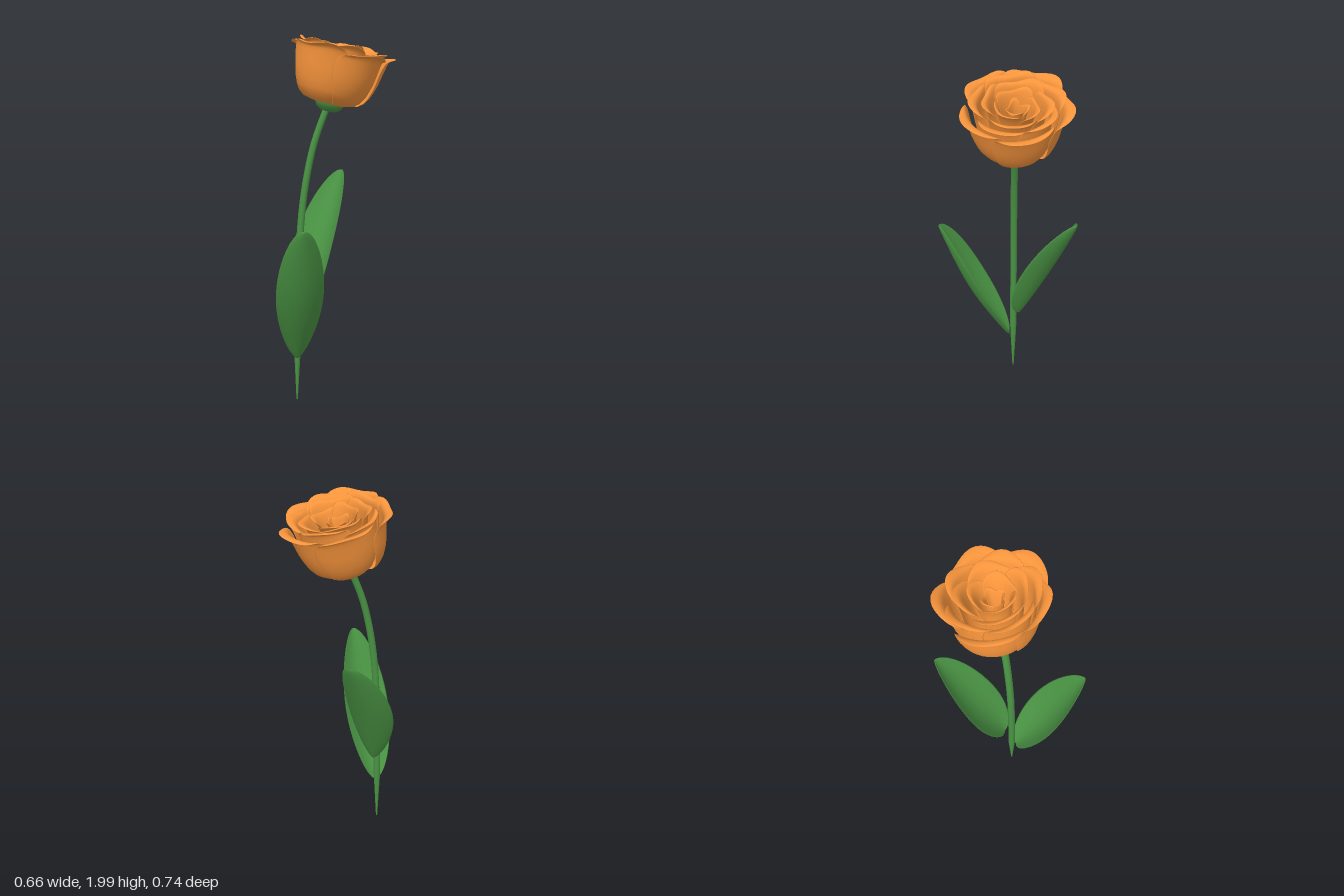
import * as THREE from 'three';

const orange = new THREE.MeshStandardMaterial({ color: 0xf9953c, side: THREE.DoubleSide });
const green = new THREE.MeshStandardMaterial({ color: 0x4a9444, side: THREE.DoubleSide });
const V = (x, y, z) => new THREE.Vector3(x, y, z);

// Skin of closed rings: point(angle, t) gives each ring point
function loft(point, around, along) {
  const pos = [], idx = [];
  for (let j = 0; j <= along; j++) {
    for (let i = 0; i < around; i++) {
      pos.push(...point((i / around) * Math.PI * 2, j / along).toArray());
      if (j === along) continue;
      const a = j * around + i, b = j * around + ((i + 1) % around);
      idx.push(a, b, b + around, a, b + around, a + around);
    }
  }
  const g = new THREE.BufferGeometry();
  g.setAttribute('position', new THREE.Float32BufferAttribute(pos, 3));
  g.setIndex(idx);
  g.computeVertexNormals();
  return g;
}

function add(parent, name, geometry, material) {
  const m = new THREE.Mesh(geometry, material);
  m.name = name;
  parent.add(m);
}

// Curved stem, pointed at the foot
function stemGeometry() {
  const path = new THREE.CatmullRomCurve3([
    V(-0.195, 0.01, -0.04), V(-0.19, 0.4, -0.04), V(-0.18, 0.8, -0.04), V(-0.164, 1.05, -0.04),
    V(-0.136, 1.25, -0.04), V(-0.093, 1.44, -0.04), V(-0.02, 1.64, -0.04)]);
  return loft((a, t) => {
    const r = 0.004 + 0.015 * Math.min(1, t * 5.5);
    return path.getPointAt(t).add(V(Math.cos(a) * r, 0, -Math.sin(a) * r));
  }, 10, 30);
}

// Cupped leaf leaning in direction (dx, dz), hollow side towards the stem
function leafGeometry(points, dx, dz, halfWidth, cup) {
  const path = new THREE.CatmullRomCurve3(points);
  const W = V(dz, 0, -dx).normalize();
  return loft((a, k) => {
    const t = (1 - Math.cos(k * Math.PI)) / 2;
    const w = Math.pow(Math.max(0, Math.sin(Math.PI * t)), 0.55);
    const N = path.getTangent(t).cross(W).normalize();
    const s = Math.cos(a);
    return path.getPoint(t)
      .addScaledVector(W, halfWidth * w * s)
      .addScaledVector(N, cup * w * s * s + 0.012 * Math.sqrt(w) * Math.sin(a));
  }, 20, 24);
}

// One petal: narrow foot, bowl wall (neck = wall radius / lip radius), flared wavy lip
function petalGeometry(R, H, neck, theta, halfAngle, phase) {
  const profile = new THREE.SplineCurve([
    [0.01, 0.09], [R * neck * 0.62, 0.14], [R * neck * 0.86, 0.28],
    [R * neck, 0.53], [R * (0.3 + neck * 0.7), 0.78], [R * 0.92, 0.95], [R * 1.06, 0.99],
  ].map(([r, y]) => new THREE.Vector2(r, y * H)));
  return loft((a, k) => {
    const t = 1 - (1 - k) ** 2;
    const w = Math.sqrt(Math.max(0, 1 - t ** 5)) * (0.62 + 0.38 * Math.min(1, t * 1.6));
    const s = Math.cos(a);
    const p = profile.getPoint(t), d = profile.getTangent(t);
    const off = 0.007 * w * Math.sin(a);
    const wave = Math.sin(4.5 * s * w + phase) * t ** 4;
    const r = (p.x + d.y * off) * (1 + 0.08 * s * w) + 0.012 * wave;
    const ang = theta + halfAngle * w * s;
    return V(Math.cos(ang) * r, p.y - d.x * off + 0.013 * wave, Math.sin(ang) * r);
  }, 28, 20);
}

export function createModel() {
  const model = new THREE.Group();
  model.name = 'flower';
  add(model, 'stem', stemGeometry(), green);

  // Leaves
  add(model, 'frontLeaf', leafGeometry(
    [V(-0.195, 0.255, -0.015), V(-0.195, 0.63, 0.2), V(-0.195, 1.04, 0.37)], 0, 1, 0.127, 0.07), green);
  add(model, 'backLeaf', leafGeometry(
    [V(-0.155, 0.45, -0.07), V(-0.05, 0.82, -0.215), V(0.1, 1.24, -0.36)], 0.67, -0.74, 0.127, 0.07), green);

  // Tilted blossom
  const head = new THREE.Group();
  head.name = 'blossom';
  head.position.set(-0.02, 1.61, -0.045);
  head.rotation.z = -0.23;
  model.add(head);

  // Green cup under the petals
  const cup = [[0.0, -0.012], [0.04, -0.008], [0.065, 0.008], [0.08, 0.035], [0.076, 0.048], [0, 0.02]];
  add(head, 'sepalCup', new THREE.LatheGeometry(cup.map(([x, y]) => new THREE.Vector2(x, y)), 20), green);

  // Petal rings from outside in: radius, height, neck, count, half angle, start angle
  const rings = [
    [0.262, 0.325, 0.8, 5, 0.86, -0.25],
    [0.216, 0.342, 0.82, 5, 0.9, 0.4],
    [0.165, 0.345, 0.74, 4, 1.1, 0.1],
    [0.108, 0.335, 0.64, 3, 1.4, 0.8],
    [0.052, 0.305, 0.6, 3, 1.4, 0.3],
  ];
  rings.forEach(([R, H, neck, count, half, start], ring) => {
    for (let i = 0; i < count; i++) {
      const theta = start + (i / count) * Math.PI * 2;
      const vary = 1 + 0.025 * Math.sin(i * 2.4 + ring);
      add(head, `petal${ring + 1}_${i + 1}`,
        petalGeometry(R * vary, H * (2 - vary), neck, theta, half, i * 1.7 + ring), orange);
    }
  });
  return model;
}
